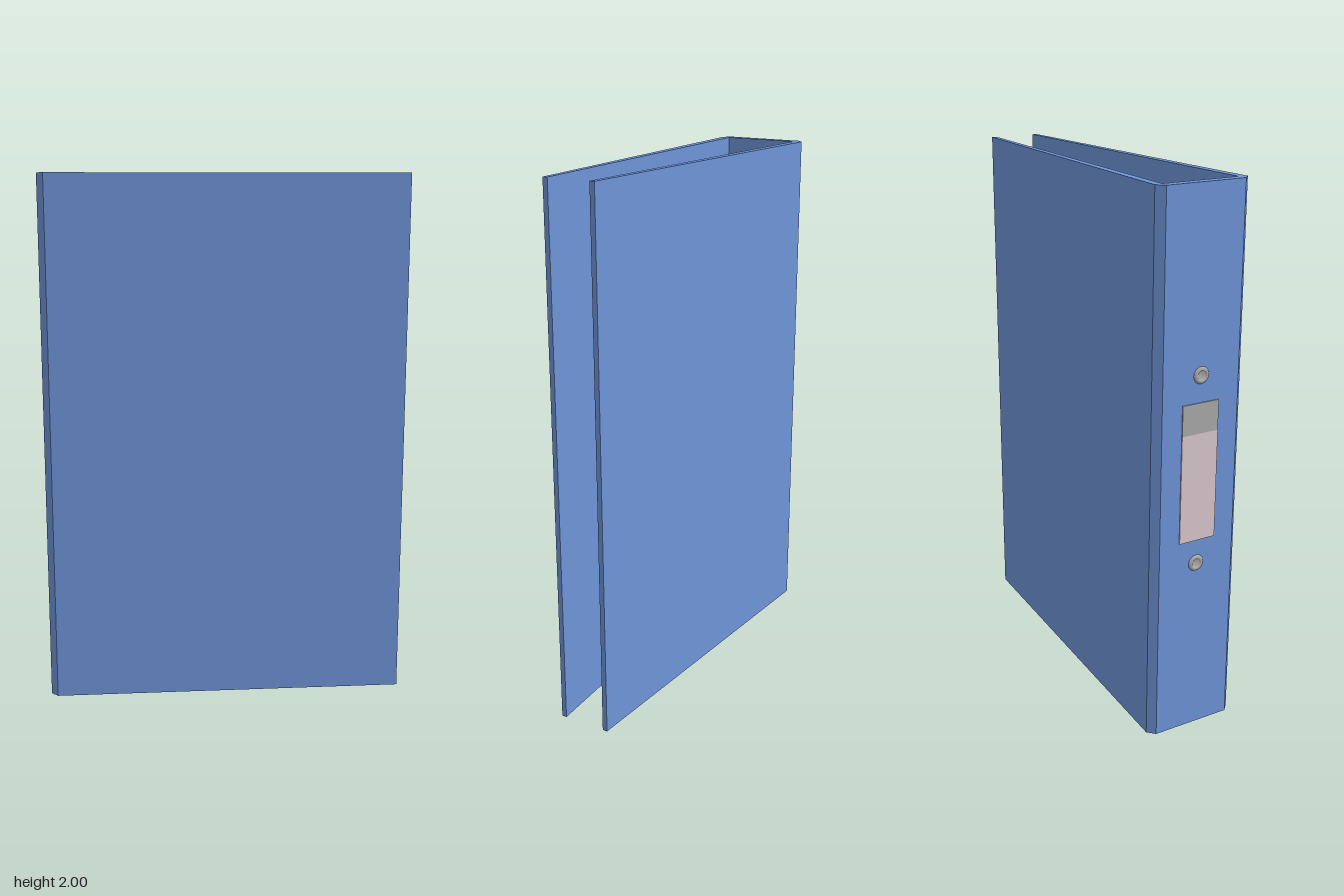
import * as THREE from 'three';

const mat = (color) => new THREE.MeshStandardMaterial({ color });

// Sweeps a round section along a flat [x, z] path with mitred corners
function mitredTube(path, radius, sides) {
  const pos = [], idx = [];
  const normal = (a, b) => new THREE.Vector2(b[1] - a[1], a[0] - b[0]).normalize();
  path.forEach((p, i) => {
    const n1 = normal(path[Math.max(i - 1, 0)], path[Math.max(i, 1)]);
    const last = path.length - 1;
    const n2 = normal(path[Math.min(i, last - 1)], path[Math.min(i + 1, last)]);
    const m = n1.clone().add(n2).divideScalar(1 + n1.dot(n2));
    for (let j = 0; j < sides; j++) {
      const a = (j / sides) * Math.PI * 2;
      const c = Math.cos(a) * radius;
      pos.push(p[0] + m.x * c, Math.sin(a) * radius, p[1] + m.y * c);
      if (i < last) {
        const k = (j + 1) % sides;
        const q = i * sides;
        idx.push(q + j, q + k, q + sides + j, q + k, q + sides + k, q + sides + j);
      }
    }
  });
  const geo = new THREE.BufferGeometry();
  geo.setAttribute('position', new THREE.Float32BufferAttribute(pos, 3));
  geo.setIndex(idx);
  const flat = geo.toNonIndexed();
  flat.computeVertexNormals();
  return flat;
}

export function createModel() {
  const model = new THREE.Group();
  model.name = 'ringBinder';
  const blue = mat(0x6e94d8), grey = mat(0xcccccc), paper = mat(0xd8c8cc);
  const metal = new THREE.MeshStandardMaterial({ color: 0xaaaaaa, side: THREE.DoubleSide });

  const add = (name, geo, material, x = 0, y = 0, z = 0) => {
    const mesh = new THREE.Mesh(geo, material);
    mesh.name = name;
    mesh.position.set(x, y, z);
    model.add(mesh);
    return mesh;
  };

  // Folded cover: spine with bevelled corners and two boards closing inwards
  const half = [[0.685, 0.082], [0.685, 0.101], [-0.655, 0.179], [-0.682, 0.153]];
  const outline = [
    [-0.647, 0.147], ...half,
    ...half.slice().reverse().map(([x, z]) => [x, -z]), [-0.647, -0.147],
  ].map(([x, z]) => new THREE.Vector2(x, -z));
  const cover = new THREE.ExtrudeGeometry(new THREE.Shape(outline), { depth: 2, bevelEnabled: false });
  cover.rotateX(-Math.PI / 2);
  add('cover', cover, blue);

  // Mechanism plate inside the spine
  add('mechanismPlate', new THREE.BoxGeometry(0.03, 0.83, 0.145), grey, -0.632, 0.987, 0);

  // Two pointed binder rings
  const ringPath = [[-0.62, 0.05], [-0.569, 0.05], [-0.542, 0], [-0.569, -0.05], [-0.62, -0.05]];
  for (const y of [0.68, 1.3]) add('binderRing', mitredTube(ringPath, 0.012, 8), metal, 0, y, 0);

  // Label and its holder strip on the outside of the spine
  add('spineLabel', new THREE.BoxGeometry(0.006, 0.4, 0.146), paper, -0.683, 0.95, 0);
  add('labelStrip', new THREE.BoxGeometry(0.006, 0.11, 0.146), metal, -0.683, 1.205, 0);

  // Domed rivets with a hollow centre
  const rivetProfile = [[0, 0.001], [0.014, 0.001], [0.016, 0.005], [0.021, 0.007], [0.027, 0.005], [0.031, 0]]
    .map(([r, h]) => new THREE.Vector2(r, h));
  for (const y of [0.66, 1.357]) {
    const rivet = add('rivet', new THREE.LatheGeometry(rivetProfile, 20), metal, -0.682, y, 0);
    rivet.rotation.z = Math.PI / 2;
  }

  return model;
}
